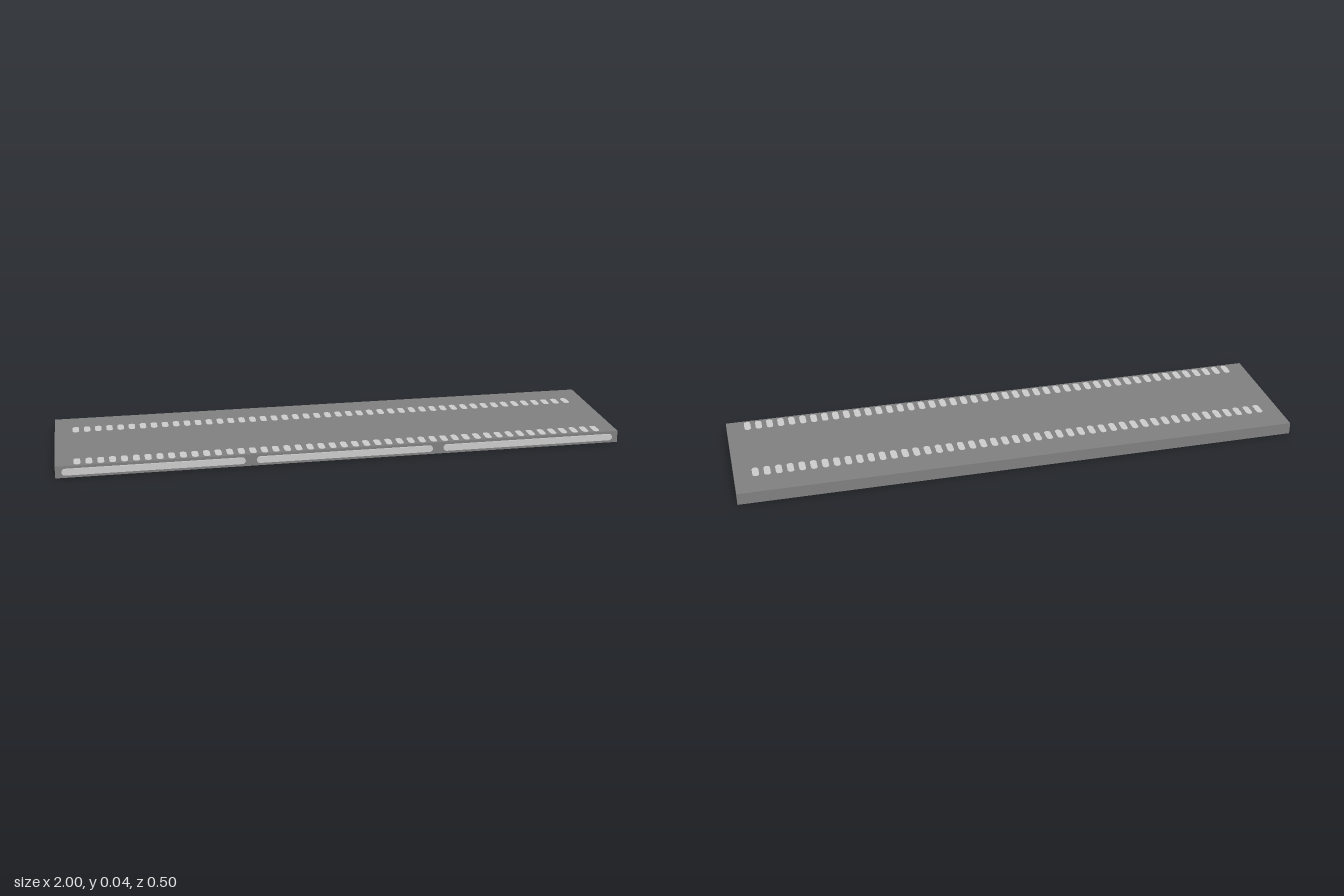
import * as THREE from 'three';

// Obround (rounded-end slot) plate, long axis along x, extruded along +z
function obround(length, width, depth, segments) {
  const r = width / 2, h = length / 2 - r;
  const s = new THREE.Shape();
  s.absarc(h, 0, r, -Math.PI / 2, Math.PI / 2, false);
  s.absarc(-h, 0, r, Math.PI / 2, Math.PI * 1.5, false);
  s.closePath();
  return new THREE.ExtrudeGeometry(s, { depth, bevelEnabled: false, curveSegments: segments });
}

export function createModel() {
  const group = new THREE.Group();
  const dark = new THREE.MeshStandardMaterial({ color: 0x808080 });
  const light = new THREE.MeshStandardMaterial({ color: 0xcccccc });

  const add = (name, geometry, material, x, y, z, parent = group) => {
    const mesh = new THREE.Mesh(geometry, material);
    mesh.name = name;
    mesh.position.set(x, y, z);
    parent.add(mesh);
    return mesh;
  };

  // Flat slab
  const height = 0.0425, back = -0.247, front = 0.243;
  add('slab', new THREE.BoxGeometry(2, height, front - back), dark, 0, height / 2, (front + back) / 2);

  // Three rounded strips along the front edge
  const stripGeometry = obround(0.626, 0.023, 0.007, 10);
  for (const x of [-0.665, 0, 0.665]) {
    add('frontStrip', stripGeometry, light, x, 0.0215, front - 0.002);
  }

  // Two rows of upright slot markers on the top face
  const slotGeometry = obround(0.057, 0.023, 0.003, 8);
  slotGeometry.rotateZ(Math.PI / 2).rotateX(-Math.PI / 2);
  const count = 47, reach = 0.925;
  for (const [name, z] of [['frontSlotRow', 0.206], ['backSlotRow', -0.119]]) {
    const row = new THREE.Group();
    row.name = name;
    group.add(row);
    for (let i = 0; i < count; i++) {
      const x = -reach + (2 * reach * i) / (count - 1);
      add('slot', slotGeometry, light, x, height - 0.002, z, row);
    }
  }
  return group;
}
